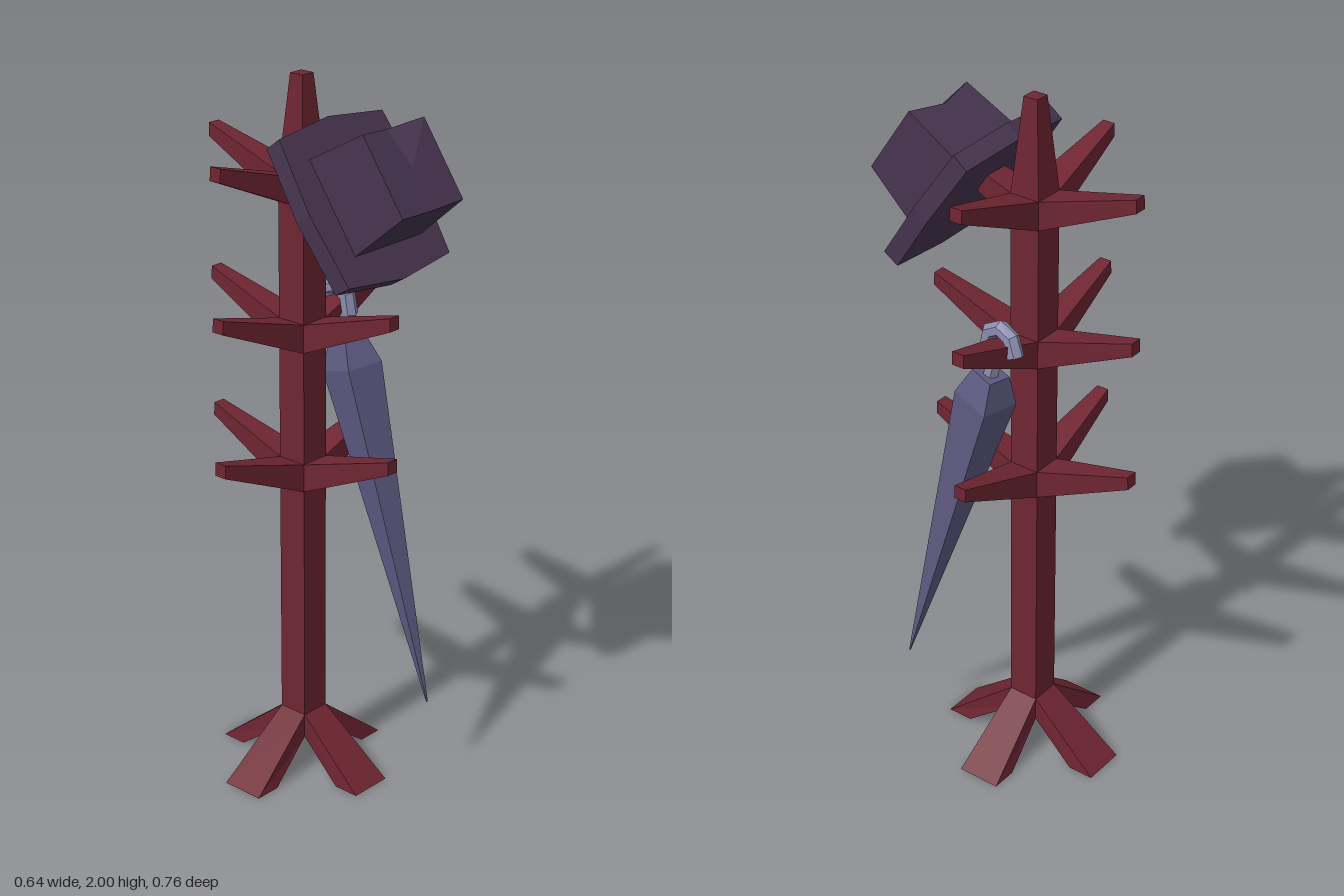
import * as THREE from 'three';

const mat = (name, color) => {
  const m = new THREE.MeshStandardMaterial({ color, flatShading: true });
  m.name = name;
  return m;
};

// Closed solid through rings of [x, y, z], each counterclockwise about the direction of travel
function loft(name, rings, material) {
  const pos = [];
  const tri = (a, b, c) => pos.push(...a, ...b, ...c);
  const n = rings[0].length;
  const centre = (r) => [0, 1, 2].map((k) => r.reduce((s, p) => s + p[k], 0) / n);
  const first = rings[0], last = rings[rings.length - 1];
  const c0 = centre(first), c1 = centre(last);
  for (let k = 0; k < n; k++) {
    const j = (k + 1) % n;
    for (let i = 0; i < rings.length - 1; i++) {
      const a = rings[i], b = rings[i + 1];
      tri(a[k], a[j], b[j]);
      tri(a[k], b[j], b[k]);
    }
    tri(c0, first[j], first[k]);
    tri(c1, last[k], last[j]);
  }
  const geo = new THREE.BufferGeometry();
  geo.setAttribute('position', new THREE.Float32BufferAttribute(pos, 3));
  geo.computeVertexNormals();
  const mesh = new THREE.Mesh(geo, material);
  mesh.name = name;
  return mesh;
}

const square = (h, y) => [[-h, y, h], [h, y, h], [h, y, -h], [-h, y, -h]];

// Ring across the x axis: lower edge, upper edge, half width
const across = ([xl, yl], [xu, yu], w) => [[xl, yl, -w], [xu, yu, -w], [xu, yu, w], [xl, yl, w]];

// Eight points of a rectangle with bowed sides; mid values replace the edge middles
const bowed = (x, z, midX, midZ, y, backY = y) => [
  [-x, y, z], [0, y, midZ], [x, y, z], [midX, y, 0],
  [x, y, -z], [0, backY, -midZ], [-x, y, -z], [-midX, y, 0],
];

function createStand(wood) {
  const stand = new THREE.Group();
  stand.name = 'stand';
  stand.position.z = -0.06;
  stand.add(loft('post', [square(0.044, 0.1), square(0.044, 1.74), square(0.021, 2)], wood));
  for (let q = 0; q < 4; q++) {
    const side = new THREE.Group();
    side.name = 'standSide';
    side.rotation.y = (q * Math.PI) / 2;
    side.add(loft('foot', [
      across([0.044, 0.1], [0.044, 0.17], 0.044),
      across([0.18, 0], [0.255, 0], 0.063),
    ], wood));
    // Three tiers of rising pegs
    for (const y of [0.86, 1.26, 1.66]) {
      side.add(loft('peg', [
        across([0.044, y], [0.044, y + 0.08], 0.044),
        across([0.32, y + 0.12], [0.318, y + 0.157], 0.018),
      ], wood));
    }
    stand.add(side);
  }
  return stand;
}

function createHat(felt) {
  const hat = new THREE.Group();
  hat.name = 'hat';
  hat.position.set(0, 1.685, 0.117);
  hat.rotation.x = 0.963;
  hat.add(loft('brim', [
    bowed(0.197, 0.202, 0.212, 0.225, 0),
    bowed(0.196, 0.205, 0.212, 0.228, 0.052),
  ], felt));
  hat.add(loft('crown', [
    bowed(0.128, 0.135, 0.128, 0.135, 0.045),
    bowed(0.117, 0.115, 0.117, 0.117, 0.24, 0.214),
  ], felt));
  return hat;
}

function createUmbrella(cloth, metal) {
  const umbrella = new THREE.Group();
  umbrella.name = 'umbrella';
  // Slightly twisted square canopy, leaning back toward its handle
  const corners = [[0.046, 0.066], [0.066, -0.046], [-0.046, -0.066], [-0.066, 0.046]];
  const ring = (x, y, z, s) => corners.map(([cx, cz]) => [x + cx * s, y + cz * s * 0.27, z + cz * s]);
  umbrella.add(loft('canopy', [
    ring(0.15, 0.24, 0.27, 0.03),
    ring(0.134, 1.18, -0.002, 1),
    ring(0.134, 1.26, -0.02, 0.6),
  ], cloth));

  const tube = (name, points, r, sides) => {
    const path = new THREE.CurvePath();
    const v = points.map((p) => new THREE.Vector3(...p));
    for (let i = 0; i < v.length - 1; i++) path.add(new THREE.LineCurve3(v[i], v[i + 1]));
    // Rings on the bends of the polyline, turned to the average direction
    const rings = v.map((p, i) => {
      const dir = v[Math.min(i + 1, v.length - 1)].clone().sub(v[Math.max(i - 1, 0)]).normalize();
      const a = new THREE.Vector3(1, 0, 0).addScaledVector(dir, -dir.x).normalize();
      const b = dir.clone().cross(a);
      return Array.from({ length: sides }, (_, k) => {
        const t = ((k + 0.5) / sides) * Math.PI * 2;
        return p.clone().addScaledVector(a, r * Math.cos(t)).addScaledVector(b, r * Math.sin(t)).toArray();
      });
    });
    umbrella.add(loft(name, rings, metal));
  };
  tube('neck', [[0.134, 1.25, -0.018], [0.13, 1.305, -0.03]], 0.022, 6);
  tube('hookHandle', [
    [0.13, 1.295, -0.028], [0.126, 1.335, -0.004], [0.125, 1.38, -0.012],
    [0.128, 1.4, -0.05], [0.135, 1.385, -0.088], [0.141, 1.34, -0.106],
  ], 0.023, 6);
  return umbrella;
}

export function createModel() {
  const model = new THREE.Group();
  model.name = 'hatStand';
  model.add(
    createStand(mat('darkRedWood', 0x6e2531)),
    createHat(mat('darkPurpleFelt', 0x46344f)),
    createUmbrella(mat('slatePurpleCloth', 0x5e5a82), mat('paleBlueMetal', 0x8a8cae)),
  );
  return model;
}
